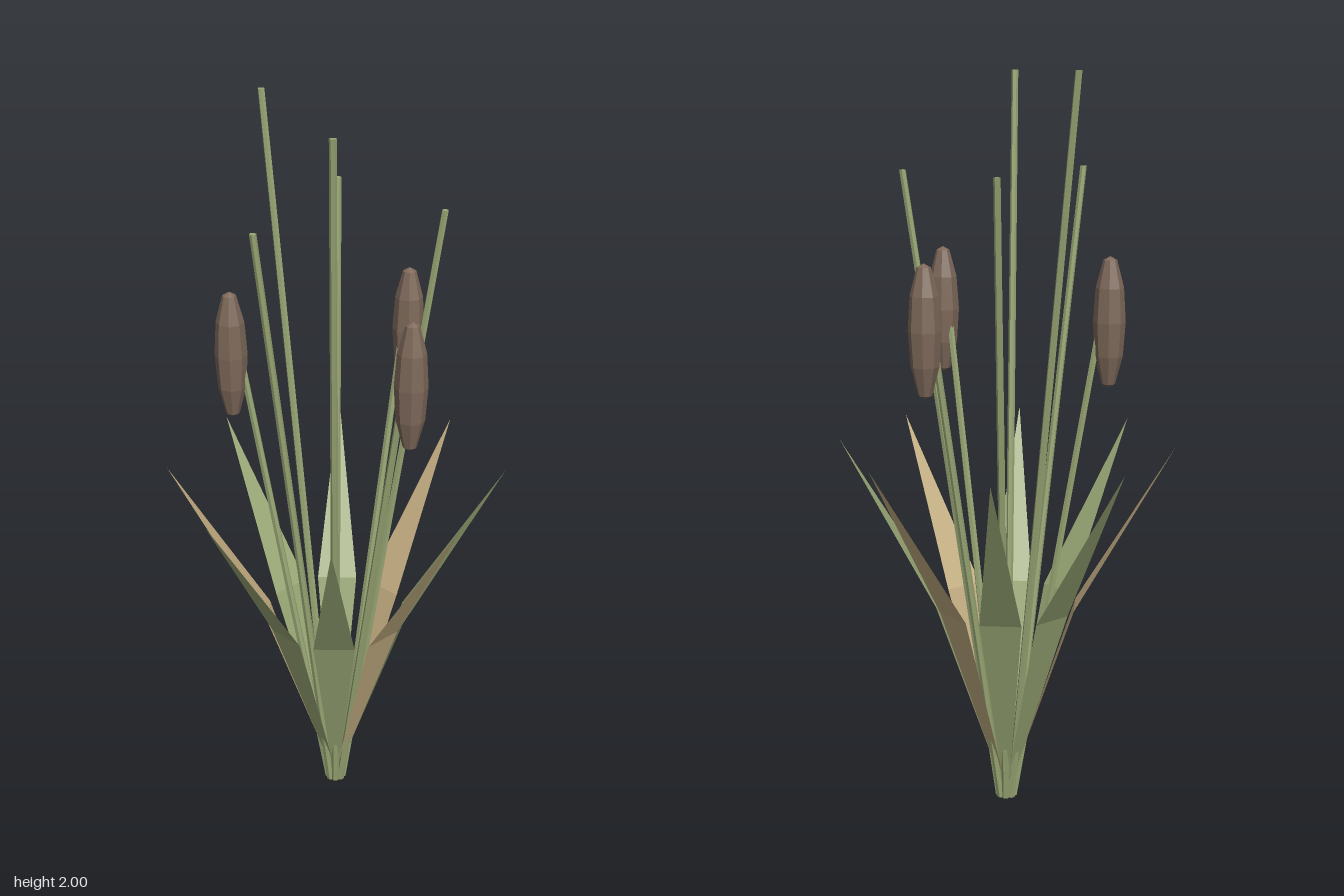
import * as THREE from 'three';

const mat = (name, color) => {
  const m = new THREE.MeshStandardMaterial({ color, flatShading: true, side: THREE.DoubleSide });
  m.name = name;
  return m;
};

// Flat kite-shaped blade, bent outward at its widest point
function leafGeometry() {
  const g = new THREE.BufferGeometry();
  g.setAttribute('position', new THREE.Float32BufferAttribute([
    0, 0, 0.006, 0, 0, -0.006,
    0.188, 0.575, 0.056, 0.188, 0.575, -0.056,
    0.454, 1.03, 0,
  ], 3));
  g.setIndex([0, 2, 1, 1, 2, 3, 2, 4, 3]);
  const flat = g.toNonIndexed();
  flat.computeVertexNormals();
  return flat;
}

// Thin stalk sheared outward from the base ring to the given height
function stemGeometry(height) {
  const g = new THREE.CylinderGeometry(0.009, 0.011, height, 6);
  g.translate(0, height / 2, 0);
  const p = g.attributes.position;
  for (let i = 0; i < p.count; i++) {
    p.setX(i, p.getX(i) + 0.02 + 0.25 * p.getY(i) / height);
  }
  g.computeVertexNormals();
  return g;
}

// Upright faceted seed head
function headGeometry() {
  const profile = [[0, 1.185], [0.018, 1.195], [0.037, 1.27], [0.043, 1.36],
    [0.037, 1.45], [0.018, 1.522], [0, 1.532]];
  return new THREE.LatheGeometry(profile.map(([r, y]) => new THREE.Vector2(r, y)), 8);
}

export function createModel() {
  const model = new THREE.Group();
  model.name = 'reedPlant';
  const green = mat('reed green', 0x98a674);
  const tan = mat('dry leaf tan', 0xc4ae82);
  const brown = mat('seed head brown', 0x7d6859);
  const leaf = leafGeometry();
  const head = headGeometry();

  // Stalk heights around the clump; 1.5 marks the ones that carry a seed head
  const heights = [1.75, 1.5, 2, 1.75, 1.5, 2, 1.75, 1.5];
  heights.forEach((height, i) => {
    const shoot = new THREE.Group();
    shoot.name = 'shoot' + (i + 1);
    shoot.rotation.y = -THREE.MathUtils.degToRad(5 + i * 45);
    const add = (name, geometry, material) => {
      const mesh = new THREE.Mesh(geometry, material);
      mesh.name = name;
      shoot.add(mesh);
      return mesh;
    };
    const hasHead = height === 1.5;
    add('leaf', leaf, hasHead ? tan : green);
    add('stem', stemGeometry(height), green);
    if (hasHead) add('seedHead', head, brown).position.x = 0.27;
    model.add(shoot);
  });
  return model;
}
